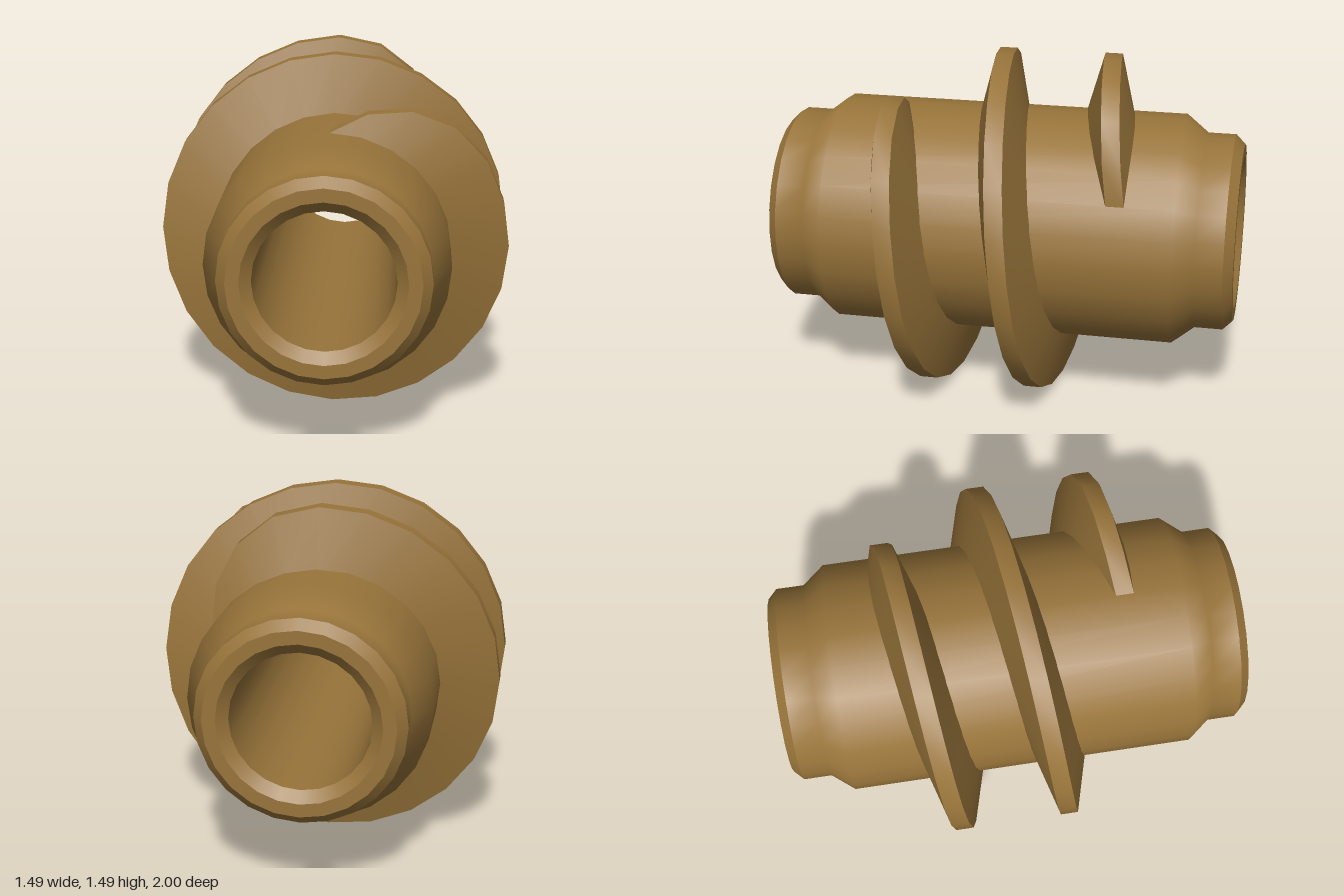
import * as THREE from 'three';

const SEGMENTS = 24;
const AXIS_HEIGHT = 0.745;

export function createModel() {
  const bronze = new THREE.MeshStandardMaterial({ color: 0x98743a });
  bronze.name = 'bronze';

  const model = new THREE.Group();
  model.name = 'wormGear';
  const worm = new THREE.Group();
  worm.name = 'worm';
  worm.position.y = AXIS_HEIGHT;
  model.add(worm);

  // Turned surfaces: [radius, z] points; each piece is smooth, with hard edges between pieces
  function turned(name, points) {
    const profile = points.map(([r, z]) => new THREE.Vector2(r, z));
    const geometry = new THREE.LatheGeometry(profile, SEGMENTS).rotateX(Math.PI / 2);
    const mesh = new THREE.Mesh(geometry, bronze);
    mesh.name = name;
    worm.add(mesh);
  }

  turned('shaft', [
    [0.425, -0.96], [0.425, -0.84], [0.5, -0.745],
    [0.5, 0.745], [0.425, 0.84], [0.425, 0.96],
  ]);
  turned('bore', [[0.285, 0.96], [0.285, -0.96]]);

  // Chamfers and end faces, mirrored front to back
  const rim = {
    OuterChamfer: [[0.425, 0.96], [0.385, 1]],
    EndFace: [[0.385, 1], [0.33, 1]],
    InnerChamfer: [[0.33, 1], [0.285, 0.96]],
  };
  for (const [name, points] of Object.entries(rim)) {
    turned('front' + name, points);
    turned('back' + name, points.map(([r, z]) => [r, -z]).reverse());
  }

  // Helical thread, trapezoidal in section, with its height easing in and out
  const steps = 52; // two turns and 60 degrees
  const pitch = 0.465;
  const rootRadius = 0.46;
  const tipHalfWidth = 0.038;
  const flankSlope = 0.26;
  const sections = [];
  for (let i = 0; i <= steps; i++) {
    const angle = (i / SEGMENTS) * Math.PI * 2;
    const z = 0.5 - (pitch * i) / SEGMENTS;
    const ease = Math.sin((Math.min(i, steps - i, 4) / 4) * Math.PI / 2);
    const tip = 0.5 + 0.243 * ease;
    const rootHalfWidth = tipHalfWidth + flankSlope * (tip - rootRadius);
    const point = (r, dz) => [r * Math.sin(angle), r * Math.cos(angle), z + dz];
    sections.push([
      point(rootRadius, rootHalfWidth), point(tip, tipHalfWidth),
      point(tip, -tipHalfWidth), point(rootRadius, -rootHalfWidth),
    ]);
  }

  // One smooth strip for each side of the thread
  ['threadFrontFlank', 'threadCrest', 'threadBackFlank'].forEach((name, side) => {
    const positions = [];
    const indices = [];
    sections.forEach((section, i) => {
      positions.push(...section[side], ...section[side + 1]);
      if (i === steps) return;
      const a = i * 2;
      indices.push(a, a + 2, a + 3, a, a + 3, a + 1);
    });
    const geometry = new THREE.BufferGeometry();
    geometry.setAttribute('position', new THREE.Float32BufferAttribute(positions, 3));
    geometry.setIndex(indices);
    geometry.computeVertexNormals();
    const mesh = new THREE.Mesh(geometry, bronze);
    mesh.name = name;
    worm.add(mesh);
  });

  return model;
}
